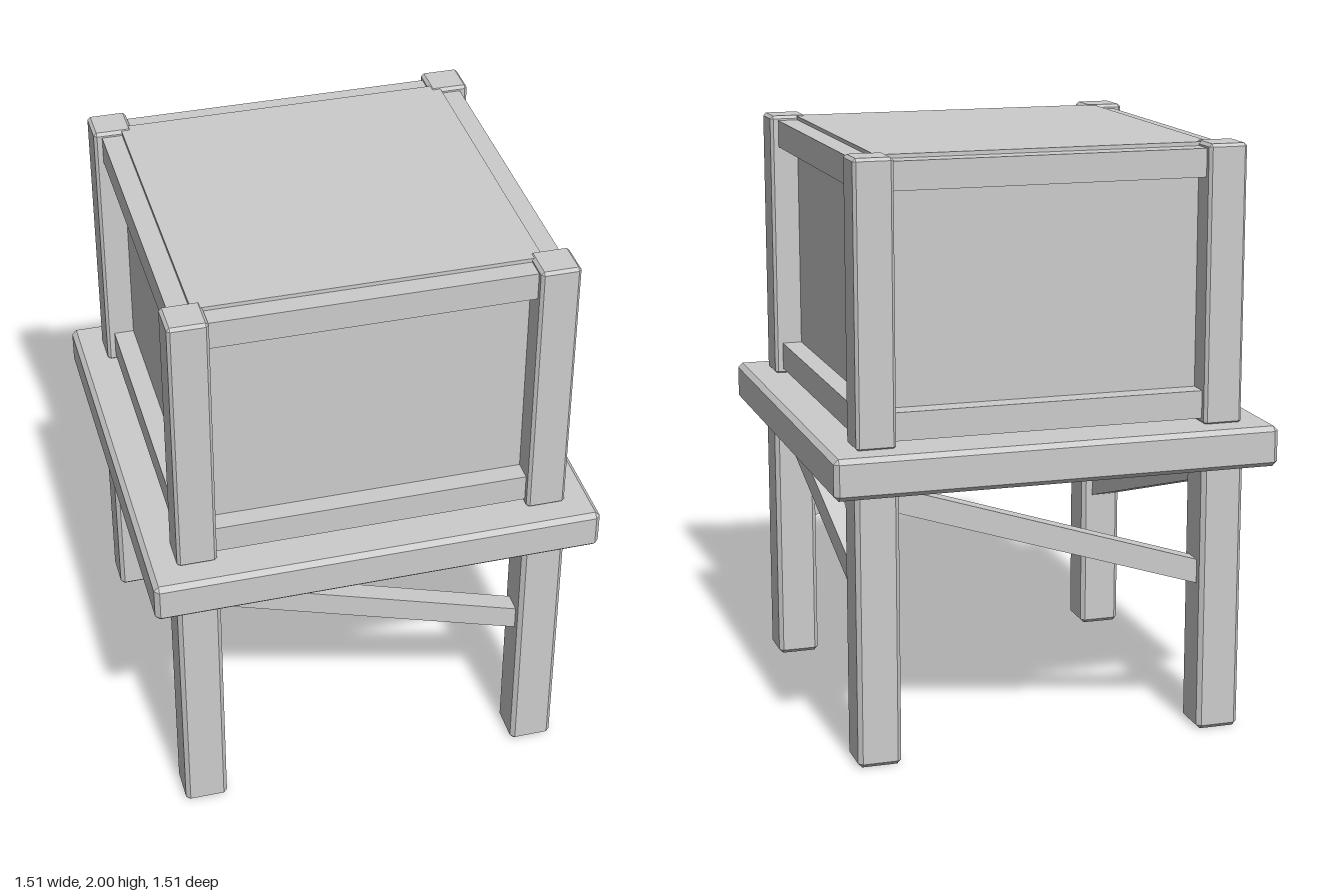
import * as THREE from 'three';
import { ConvexGeometry } from 'three/addons/geometries/ConvexGeometry.js';

const grey = new THREE.MeshStandardMaterial({ color: 0xcccccc });
grey.name = 'plain grey';

// Box with every edge cut by a flat 45 degree chamfer
function chamferBox(w, h, d, c) {
  const points = [];
  for (const x of [-1, 1]) for (const y of [-1, 1]) for (const z of [-1, 1]) {
    const corner = new THREE.Vector3(x * w / 2, y * h / 2, z * d / 2);
    for (const axis of ['x', 'y', 'z']) {
      const p = corner.clone().sub(new THREE.Vector3(x * c, y * c, z * c));
      p[axis] = corner[axis];
      points.push(p);
    }
  }
  return new ConvexGeometry(points);
}

function add(parent, name, geometry, x, y, z) {
  const mesh = new THREE.Mesh(geometry, grey);
  mesh.name = name;
  mesh.position.set(x, y, z);
  parent.add(mesh);
  return mesh;
}

export function createModel() {
  const model = new THREE.Group();
  model.name = 'crateOnStand';

  // Platform and the closed box standing on it
  add(model, 'platform', chamferBox(1.51, 0.137, 1.51, 0.016), 0, 1.0015, 0);
  add(model, 'boxBody', new THREE.BoxGeometry(1.126, 0.937, 1.126), 0, 1.5285, 0);

  const leg = chamferBox(0.146, 0.94, 0.146, 0.014);
  const post = chamferBox(0.132, 0.935, 0.132, 0.01);
  const rail = new THREE.BoxGeometry(1.09, 0.094, 0.069);
  const brace = new THREE.BoxGeometry(1.14, 0.079, 0.069);

  // One side with its corner, repeated by quarter turns
  for (let i = 0; i < 4; i++) {
    const side = new THREE.Group();
    side.name = 'side' + (i + 1);
    side.rotation.y = i * Math.PI / 2;
    add(side, 'leg', leg, 0.594, 0.47, 0.594);
    add(side, 'cornerPost', post, 0.593, 1.5325, 0.593);
    add(side, 'topRail', rail, 0, 1.937, 0.597);
    add(side, 'bottomRail', rail, 0, 1.133, 0.597);
    add(side, 'diagonalBrace', brace, 0, 0.722, 0.594).rotation.z = -0.31;
    model.add(side);
  }
  return model;
}
